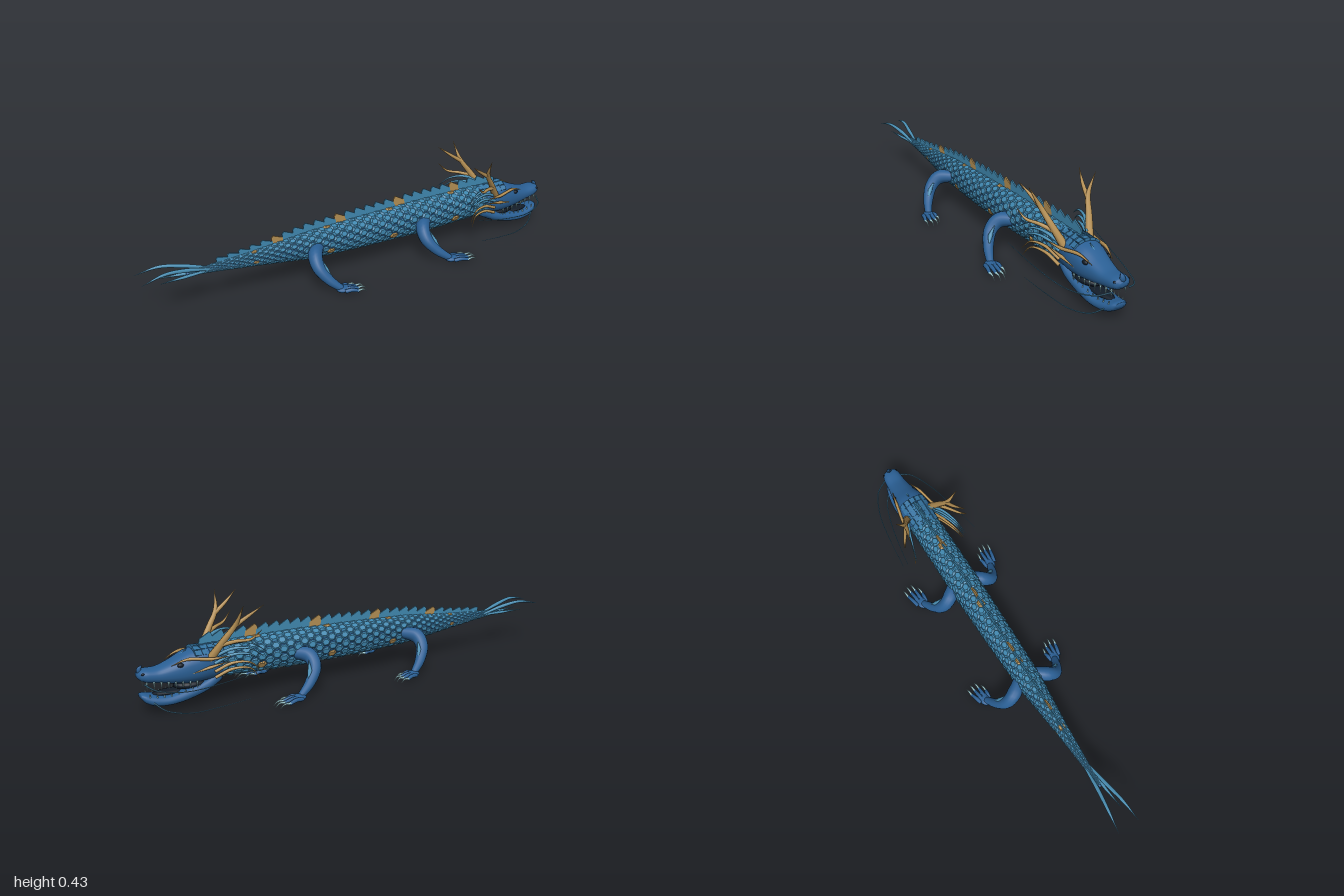
import * as THREE from 'three';
import { mergeGeometries } from 'three/addons/utils/BufferGeometryUtils.js';

const mat = (color, flatShading = false) => new THREE.MeshStandardMaterial({ color, flatShading });
const BLUE = mat(0x2a5f94), SCALE = mat(0x4088b0, true), STRAND = mat(0x4a8fb4), NAPE = mat(0x34729f, true);
const GOLD = mat(0xb48f54), GOLDSCALE = mat(0xb48f54, true);
const PALE = mat(0xa5d2d8), DARK = mat(0x121c28), BELLY = mat(0x7fa6b4);
const V = (x, y, z) => new THREE.Vector3(x, y, z);

function add(parent, name, geometry, material) {
  const m = new THREE.Mesh(geometry, material);
  m.name = name;
  parent.add(m);
  return m;
}

// Smooth hull along x from sections [x, centre y, half height, half width], closed at both ends
function loft(sections, steps, sides, power = 1) {
  const mid = new THREE.CatmullRomCurve3(sections.map(s => V(s[0], s[1], 0)));
  const rad = new THREE.CatmullRomCurve3(sections.map(s => V(s[2], s[3], 0)));
  const pos = [], idx = [], bend = v => Math.sign(v) * Math.abs(v) ** power;
  for (let i = -1; i <= steps + 1; i++) {
    const t = THREE.MathUtils.clamp(i / steps, 0, 1);
    const c = mid.getPoint(t), r = rad.getPoint(t), k = i < 0 || i > steps ? 0.001 : 1;
    for (let j = 0; j < sides; j++) {
      const a = j / sides * Math.PI * 2;
      pos.push(c.x, c.y + bend(Math.cos(a)) * Math.max(r.x, 0) * k, bend(Math.sin(a)) * Math.max(r.y, 0) * k);
    }
  }
  for (let i = 0; i < steps + 2; i++) for (let j = 0; j < sides; j++) {
    const a = i * sides + j, b = i * sides + (j + 1) % sides;
    idx.push(a, b, a + sides, b, b + sides, a + sides);
  }
  const g = new THREE.BufferGeometry();
  g.setAttribute('position', new THREE.Float32BufferAttribute(pos, 3));
  g.setIndex(idx);
  g.computeVertexNormals();
  return g;
}

// Tube whose radius follows a list of values along its path
function taper(points, radii, steps = 16, sides = 8) {
  const curve = new THREE.CatmullRomCurve3(points);
  const g = new THREE.TubeGeometry(curve, steps, 1, sides), p = g.attributes.position, v = V(0, 0, 0);
  for (let i = 0; i <= steps; i++) {
    const u = i / steps, c = curve.getPointAt(u), f = u * (radii.length - 1);
    const k = Math.min(Math.floor(f), radii.length - 2);
    const r = THREE.MathUtils.lerp(radii[k], radii[k + 1], f - k);
    for (let j = 0; j <= sides; j++) {
      const n = i * (sides + 1) + j;
      v.fromBufferAttribute(p, n).sub(c).multiplyScalar(r).add(c);
      p.setXYZ(n, v.x, v.y, v.z);
    }
  }
  return g;
}

const BODY = [[-0.8, 0.168, 0.006, 0.005], [-0.65, 0.168, 0.02, 0.016], [-0.5, 0.165, 0.034, 0.027], [-0.25, 0.164, 0.062, 0.052],
  [0, 0.166, 0.072, 0.059], [0.3, 0.17, 0.078, 0.065], [0.6, 0.178, 0.073, 0.064], [0.74, 0.18, 0.066, 0.064]];
function bodyAt(x) {
  let i = 0;
  while (i < BODY.length - 2 && x > BODY[i + 1][0]) i++;
  const [a, b] = [BODY[i], BODY[i + 1]], t = (x - a[0]) / (b[0] - a[0]);
  return [1, 2, 3].map(k => THREE.MathUtils.lerp(a[k], b[k], t));
}
const onBody = (x, a) => { const [y, ry, rz] = bodyAt(x); return V(x, y + Math.cos(a) * ry, Math.sin(a) * rz); };

// Staggered hexagonal scales, a few of them gold, and flat plates under the belly
function scales(root) {
  const hex = new THREE.CylinderGeometry(0.6, 1, 1, 6).rotateY(Math.PI / 2);
  const blue = [], gold = [], belly = [], N = 12;
  let row = 0;
  for (let x = -0.78; x < 0.73; row++) {
    const [, ry, rz] = bodyAt(x), step = 0.014 + rz * 0.3, width = Math.PI * (ry + rz) / N;
    const band = [-0.5, -0.17, 0.17, 0.5].some(g => Math.abs(x - g) < step * 0.55);
    for (let j = 0; j < N; j++) {
      const a = (j + (row % 2) * 0.5) / N * Math.PI * 2, p = onBody(x, a);
      const n = V(0, Math.cos(a) / ry, Math.sin(a) / rz).normalize();
      const under = Math.cos(a) < -0.93;
      const tangent = onBody(x + 0.01, a).sub(p).normalize().addScaledVector(n, -0.1).normalize();
      const side = V(0, 0, 0).crossVectors(tangent, n).normalize(), up = V(0, 0, 0).crossVectors(side, tangent);
      const m = new THREE.Matrix4().makeBasis(tangent, up, side).setPosition(p)
        .scale(V(step * 0.8, 0.003 + rz * 0.09, width * 0.6));
      const accent = band && (Math.abs(Math.sin(a)) < 0.4 && Math.cos(a) > 0 || Math.abs(Math.cos(a) + 0.35) < 0.22);
      (under ? belly : accent ? gold : blue).push(hex.clone().applyMatrix4(m));
    }
    x += step;
  }
  add(root, 'bodyScales', mergeGeometries(blue), SCALE);
  add(root, 'goldScales', mergeGeometries(gold), GOLDSCALE);
  add(root, 'bellyPlates', mergeGeometries(belly), BELLY);
}

// Sawtooth crest of swept plates along the back
function crest(root) {
  for (let i = 0; i < 28; i++) {
    const x = -0.64 + i * 0.05, [y, ry, rz] = bodyAt(x), h = 0.012 + rz * 0.62;
    const s = new THREE.Shape([[0.032, -0.01], [0.026, h * 0.5], [-0.02, h], [-0.03, h * 0.72], [-0.024, -0.01]].map(q => new THREE.Vector2(...q)));
    const g = new THREE.ExtrudeGeometry(s, { depth: 0.006, bevelEnabled: false }).translate(x, y + ry, -0.003);
    add(root, 'backSpine', g, i % 6 === 5 ? GOLDSCALE : SCALE);
  }
}

// Leg with its x positions placed at dx + x * reach
function leg(root, name, dx, reach, s) {
  const group = new THREE.Group(), P = (x, y, z) => V(x * reach + dx, y, z * s);
  group.name = name;
  root.add(group);
  add(group, 'limb', taper([P(0.34, 0.16, 0.03), P(0.285, 0.153, 0.09), P(0.28, 0.115, 0.128), P(0.32, 0.062, 0.162), P(0.375, 0.02, 0.185)],
    [0.024, 0.033, 0.028, 0.022, 0.015], 24, 14), BLUE);
  add(group, 'limbFin', taper([P(0.305, 0.145, 0.122), P(0.315, 0.105, 0.15), P(0.337, 0.07, 0.168)], [0.001, 0.01, 0.0005], 12), STRAND);
  const palm = add(group, 'palm', new THREE.SphereGeometry(1, 16, 10), BLUE);
  palm.position.copy(P(0.385, 0.017, 0.187));
  palm.scale.set(0.032, 0.013, 0.026);
  for (let i = 0; i < 4; i++) {
    const z = 0.168 + i * 0.015, w = 0.163 + i * 0.022, x = 0.45 + [-0.02, 0.01, 0.012, 0][i];
    add(group, 'toe', taper([P(0.38, 0.017, z), P((0.38 + x) / 2, 0.021, (z + w) / 2), P(x, 0.013, w)], [0.009, 0.009, 0.007], 8), BLUE);
    add(group, 'claw', taper([P(x - 0.008, 0.015, w), P(x + 0.022, 0.018, w + 0.003), P(x + 0.042, 0.003, w + 0.005)], [0.006, 0.004, 0.0005], 8, 6), PALE);
  }
}

function head(root) {
  add(root, 'skull', loft([[0.62, 0.177, 0.06, 0.055], [0.68, 0.177, 0.071, 0.069], [0.74, 0.175, 0.073, 0.075], [0.8, 0.169, 0.066, 0.069],
    [0.86, 0.16, 0.048, 0.056], [0.92, 0.157, 0.032, 0.045], [0.965, 0.162, 0.028, 0.041], [0.988, 0.166, 0.022, 0.034], [1, 0.167, 0.008, 0.016]], 40, 28, 0.85), BLUE);
  add(root, 'lowerJaw', loft([[0.66, 0.122, 0.03, 0.05], [0.72, 0.09, 0.028, 0.058], [0.8, 0.065, 0.027, 0.059], [0.88, 0.051, 0.023, 0.056],
    [0.94, 0.056, 0.023, 0.047], [0.975, 0.069, 0.019, 0.036], [0.992, 0.08, 0.008, 0.022]], 32, 24, 0.8), BLUE);
  const throat = add(root, 'mouthInterior', new THREE.SphereGeometry(1, 18, 12), DARK);
  throat.position.set(0.77, 0.097, 0);
  throat.scale.set(0.085, 0.024, 0.047);
  const tongue = add(root, 'tongue', new THREE.SphereGeometry(1, 16, 8), DARK);
  tongue.position.set(0.86, 0.076, 0);
  tongue.scale.set(0.09, 0.012, 0.03);
  add(root, 'foreheadHorn', taper([V(0.87, 0.185, 0), V(0.83, 0.21, 0), V(0.79, 0.243, 0)], [0.013, 0.01, 0.0005], 10), STRAND);
  add(root, 'noseHook', taper([V(0.975, 0.168, 0), V(0.988, 0.187, 0), V(0.975, 0.207, 0)], [0.02, 0.012, 0.0005], 10), BLUE);

  // rows of square plates over the nape
  for (let i = 0; i < 5; i++) for (let j = -2; j <= 2; j++) {
    const a = j * 0.36, plate = add(root, 'napePlate', new THREE.BoxGeometry(0.027, 0.012, 0.024), NAPE);
    plate.position.set(0.64 + i * 0.03, 0.177 + Math.cos(a) * 0.07, Math.sin(a) * 0.072);
    plate.rotation.set(a, 0, 0.1);
  }

  for (const s of [1, -1]) {
    const P = (x, y, z) => V(x, y, z * s);
    const strand = (name, pts, radii, m, n = 18) => add(root, name, taper(pts.map(q => P(...q)), radii, n), m);
    const ball = (name, p, size, m) => {
      const b = add(root, name, new THREE.SphereGeometry(1, 14, 10), m);
      b.position.copy(P(...p));
      b.scale.set(...size);
    };
    ball('eye', [0.835, 0.195, 0.053], [0.014, 0.009, 0.009], DARK);
    ball('nostril', [0.982, 0.176, 0.031], [0.007, 0.005, 0.005], DARK);

    // teeth, upper row pointing down and lower row pointing up
    for (let i = 0; i < 8; i++) {
      const t = i / 7, x = 0.77 + t * 0.2, long = i === 6 ? 0.042 : 0.034;
      const up = add(root, 'upperTooth', new THREE.ConeGeometry(0.005, long, 6).rotateX(Math.PI), PALE);
      up.position.copy(P(x, 0.103 + t * 0.02, 0.052 - t * 0.02));
      const low = add(root, 'lowerTooth', new THREE.ConeGeometry(0.005, long * 0.7, 6), PALE);
      low.position.copy(P(x - 0.01, 0.089 - 0.016 * Math.sin(t * 2.6), 0.05 - t * 0.018));
    }

    // antler with a forked tip and a side tine
    strand('antlerBeam', [[0.715, 0.2, 0.055], [0.66, 0.285, 0.088], [0.618, 0.35, 0.112], [0.602, 0.432, 0.155]], [0.018, 0.014, 0.01, 0.0005], GOLD, 24);
    strand('antlerFork', [[0.622, 0.34, 0.107], [0.575, 0.372, 0.118], [0.51, 0.42, 0.143]], [0.01, 0.007, 0.0005], GOLD);
    strand('antlerTine', [[0.68, 0.26, 0.08], [0.62, 0.278, 0.115], [0.57, 0.287, 0.145], [0.53, 0.325, 0.163]], [0.01, 0.008, 0.006, 0.0005], GOLD);
    strand('brow', [[0.87, 0.197, 0.047], [0.81, 0.218, 0.062], [0.72, 0.21, 0.082], [0.64, 0.215, 0.098]], [0.001, 0.007, 0.007, 0.0005], GOLD);
    strand('cheekSpike', [[0.8, 0.155, 0.066], [0.72, 0.175, 0.08], [0.64, 0.19, 0.09]], [0.001, 0.007, 0.0005], GOLD);

    // mane strands arching back from the cheeks
    [0.25, 0.225, 0.2, 0.165, 0.14].forEach((y, i) => {
      const z = 0.055 + 0.008 * Math.min(i, 2);
      strand('maneStrand', [[0.7, y - 0.015, z], [0.63, y + 0.016, 0.09], [0.56, y + 0.012, 0.113], [0.5 + i * 0.008, y - 0.028, 0.13]],
        [0.007, 0.007, 0.0045, 0.0005], i > 2 ? GOLD : STRAND);
    });

    strand('noseWhisker', [[0.98, 0.135, 0.036], [0.95, 0.122, 0.09], [0.85, 0.115, 0.14], [0.7, 0.135, 0.17], [0.52, 0.175, 0.192]], [0.003, 0.002, 0.0015, 0.0008], STRAND, 32);
    strand('chinWhisker', [[0.95, 0.055, 0.044], [0.91, 0.025, 0.075], [0.82, 0.008, 0.105], [0.7, 0.02, 0.13], [0.58, 0.038, 0.15]], [0.003, 0.002, 0.0015, 0.0008], STRAND, 32);
  }
}

export function createModel() {
  const root = new THREE.Group();
  root.name = 'dragon';
  add(root, 'body', loft(BODY, 60, 24), BLUE);
  scales(root);
  crest(root);
  head(root);
  for (const s of [1, -1]) {
    leg(root, 'frontLeg', 0, 1, s);
    leg(root, 'hindLeg', -0.495, 0.83, s);
    // tail plumes
    add(root, 'tailPlume', taper([V(-0.7, 0.17, 0.01 * s), V(-0.8, 0.197, 0.021 * s), V(-0.9, 0.212, 0.037 * s), V(-1, 0.192, 0.05 * s)], [0.005, 0.009, 0.007, 0.0005], 20), STRAND);
    add(root, 'tailPlume', taper([V(-0.7, 0.165, 0.006 * s), V(-0.8, 0.165, 0.013 * s), V(-0.92, 0.167, 0.025 * s)], [0.005, 0.007, 0.0005], 16), STRAND);
  }
  return root;
}
